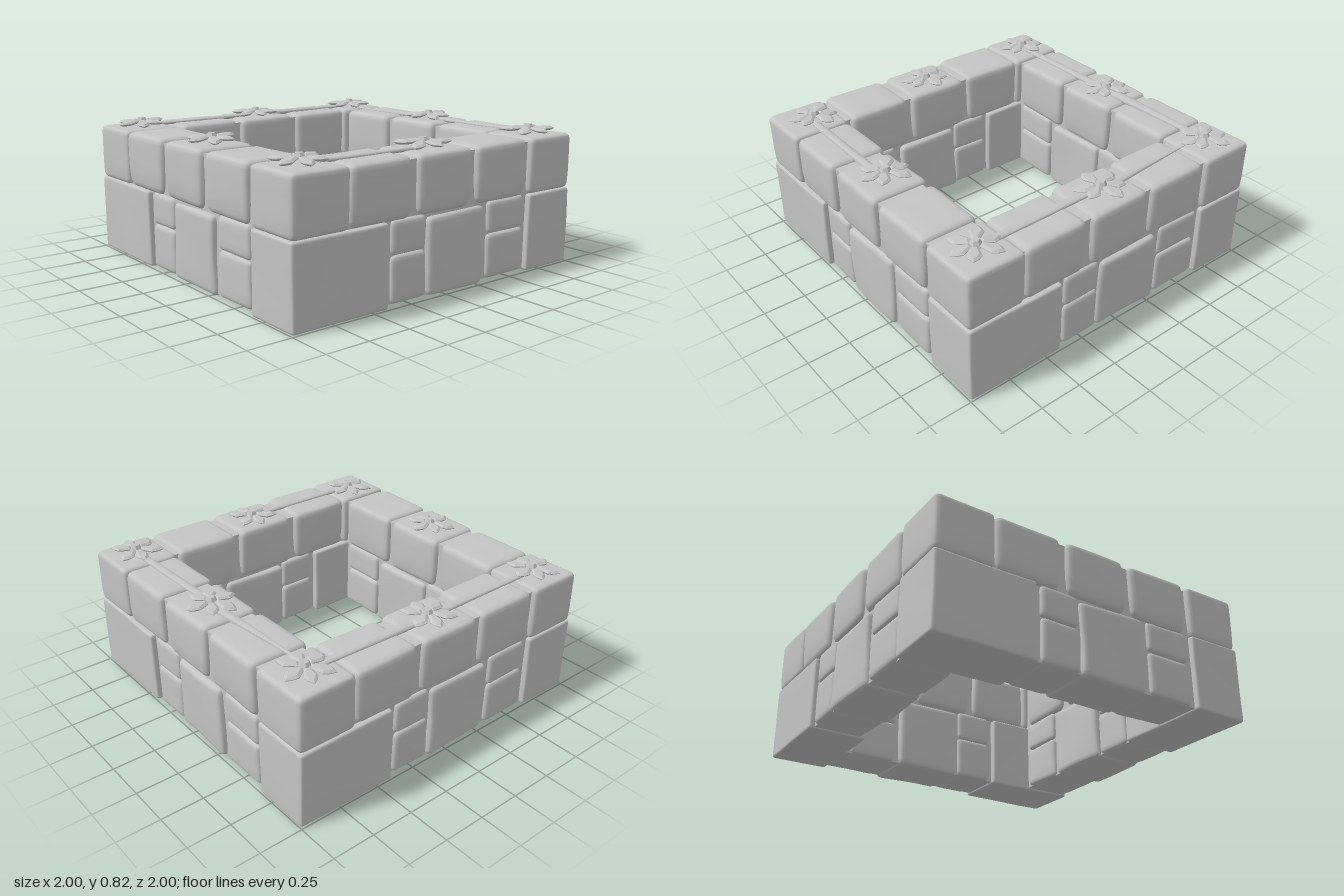
import * as THREE from 'three';
import { mergeVertices } from 'three/addons/utils/BufferGeometryUtils.js';

const stoneMat = new THREE.MeshStandardMaterial({ color: 0xc4c4c4 });
stoneMat.name = 'grey stone';

function part(name, geometry, parent) {
  const mesh = new THREE.Mesh(geometry, stoneMat);
  mesh.name = name;
  parent.add(mesh);
  return mesh;
}

// Rounded, slightly uneven stone filling the given bounds
function stone(x0, x1, y0, y1, z0, z1, r, wear, taper, seed) {
  const h = [(x1 - x0) / 2, (y1 - y0) / 2, (z1 - z0) / 2];
  let geo = new THREE.BoxGeometry(2, 2, 2, 8, 8, 8);
  geo.deleteAttribute('uv');
  geo.deleteAttribute('normal');
  geo = mergeVertices(geo);
  const pos = geo.attributes.position;
  const p = new THREE.Vector3(), inner = new THREE.Vector3();
  for (let i = 0; i < pos.count; i++) {
    p.fromBufferAttribute(pos, i);
    for (let a = 0; a < 3; a++) {
      // crowd the grid lines into the rounded edges
      const k = r / h[a], t = p.getComponent(a);
      const level = [0, 0.45 * (1 - k), 1 - k, 1 - 0.4 * k, 1][Math.round(Math.abs(t) * 4)];
      const v = Math.sign(t) * level * h[a];
      p.setComponent(a, v);
      inner.setComponent(a, THREE.MathUtils.clamp(v, r - h[a], h[a] - r));
    }
    p.sub(inner);
    if (p.lengthSq() > 1e-12) p.setLength(r);
    p.add(inner);
    // worn faces and narrower foot
    const low = Math.max(0, -p.y / h[1]);
    const { x, y, z } = p;
    p.x *= 1 - (wear * (1 + Math.sin(9 * y + 5 * z + seed)) + taper * low ** 3) / (2 * h[0]);
    p.z *= 1 - (wear * (1 + Math.sin(8 * x + 6 * y + seed * 2)) + taper * low ** 3) / (2 * h[2]);
    p.y *= 1 - wear * 0.5 * (1 + Math.sin(9 * x + 4 * z + seed * 3)) / (2 * h[1]);
    pos.setXYZ(i, p.x, p.y, p.z);
  }
  geo.translate((x0 + x1) / 2, (y0 + y1) / 2, (z0 + z1) / 2);
  geo.computeVertexNormals();
  return geo;
}

// One side; its left end carries the corner stones
function wall(seed) {
  const g = new THREE.Group();
  const IN = 0.645;
  part('mortarCore', new THREE.BoxGeometry(1.63, 0.73, 0.28).translate(-0.145, 0.385, 0.825), g);

  // lower course
  part('cornerBase', stone(-1, -0.4, 0.005, 0.455, IN, 1, 0.018, 0.004, 0, seed), g);
  part('middleBase', stone(-0.135, 0.3, 0.005, 0.445, IN, 1, 0.035, 0.012, 0, seed + 1), g);
  for (const [a, b] of [[-0.38, -0.13], [0.32, 0.625]]) {
    part('smallLower', stone(a, b, 0.015, 0.275, IN + 0.012, 0.99, 0.032, 0.006, 0, seed + a), g);
    part('smallUpper', stone(a, b, 0.27, 0.46, IN + 0.012, 0.99, 0.032, 0.006, 0, seed + b), g);
  }

  // upper course
  part('cornerCap', stone(-1, -0.645, 0.45, 0.772, IN, 1, 0.032, 0.003, 0.01, seed), g);
  for (const [a, b] of [[-0.65, -0.24], [-0.21, 0.19], [0.215, 0.625]]) {
    part('capStone', stone(a, b, 0.447, 0.774, IN, 1, 0.042, 0.006, 0.022, seed + a * 5), g);
  }
  return g;
}

// Faceted pointed petal lying flat, tip along +z
function petalGeometry() {
  const s = new THREE.Shape();
  s.moveTo(-0.008, 0);
  s.lineTo(0.008, 0);
  s.lineTo(0.026, 0.055);
  s.lineTo(0.016, 0.078);
  s.lineTo(0, 0.095);
  s.lineTo(-0.016, 0.078);
  s.lineTo(-0.026, 0.055);
  s.closePath();
  const geo = new THREE.ExtrudeGeometry(s, {
    depth: 0.004, bevelEnabled: true, bevelThickness: 0.01, bevelSize: 0.014, bevelSegments: 1,
  });
  return geo.rotateX(Math.PI / 2);
}

function flower(petal, x, z, turn) {
  const g = new THREE.Group();
  g.name = 'flower';
  g.position.set(x, 0.785, z);
  for (let i = 0; i < 6; i++) {
    const arm = new THREE.Group();
    arm.rotation.y = turn + i * Math.PI / 3 + 0.12 * Math.sin(i * 2.3 + turn);
    g.add(arm);
    const m = part('petal', petal, arm);
    m.position.set(0, 0.014, 0.042);
    m.rotation.x = 0.07 + 0.08 * Math.sin(i * 1.7 + turn * 3);
    m.scale.setScalar(0.95 + 0.1 * Math.sin(i * 2.9 + turn));
  }
  const heart = new THREE.CylinderGeometry(0.022, 0.04, 0.034, 6).toNonIndexed();
  heart.computeVertexNormals();
  part('flowerHeart', heart, g).position.y = 0.02;
  return g;
}

// Flattened tapering stem along the wall top
function stem(parent, x0, z0, w0, x1, z1, w1) {
  const dx = x1 - x0, dz = z1 - z0;
  const geo = new THREE.CylinderGeometry(w1 / 2, w0 / 2, Math.hypot(dx, dz), 8);
  geo.rotateX(Math.PI / 2).scale(1, 0.45, 1);
  const m = part('stem', geo, parent);
  m.position.set((x0 + x1) / 2, 0.774, (z0 + z1) / 2);
  m.rotation.y = Math.atan2(dx, dz);
}

export function createModel() {
  const model = new THREE.Group();
  model.name = 'stonePlanter';

  ['frontWall', 'rightWall', 'backWall', 'leftWall'].forEach((name, i) => {
    const w = wall(i * 1.9);
    w.name = name;
    w.rotation.y = i * Math.PI / 2;
    model.add(w);
  });

  const petal = petalGeometry();
  [
    [-0.81, -0.82, 0.2], [0, -0.82, 0], [0.82, -0.82, 0.45],
    [-0.82, -0.02, 0.3], [0.8, 0, 0.5],
    [-0.82, 0.81, 0.1], [-0.01, 0.8, 0.05], [0.79, 0.8, 0.25],
  ].forEach(([x, z, turn]) => model.add(flower(petal, x, z, turn)));

  [
    [-0.82, -0.74, 0.05, -0.82, -0.1, 0.085],
    [-0.82, 0.06, 0.065, -0.82, 0.74, 0.05],
    [-0.68, -0.79, 0.02, -0.08, -0.82, 0.075],
    [0.08, -0.81, 0.06, 0.74, -0.82, 0.055],
    [0.83, 0.08, 0.06, 0.82, 0.72, 0.055],
  ].forEach((s) => stem(model, ...s));

  return model;
}
